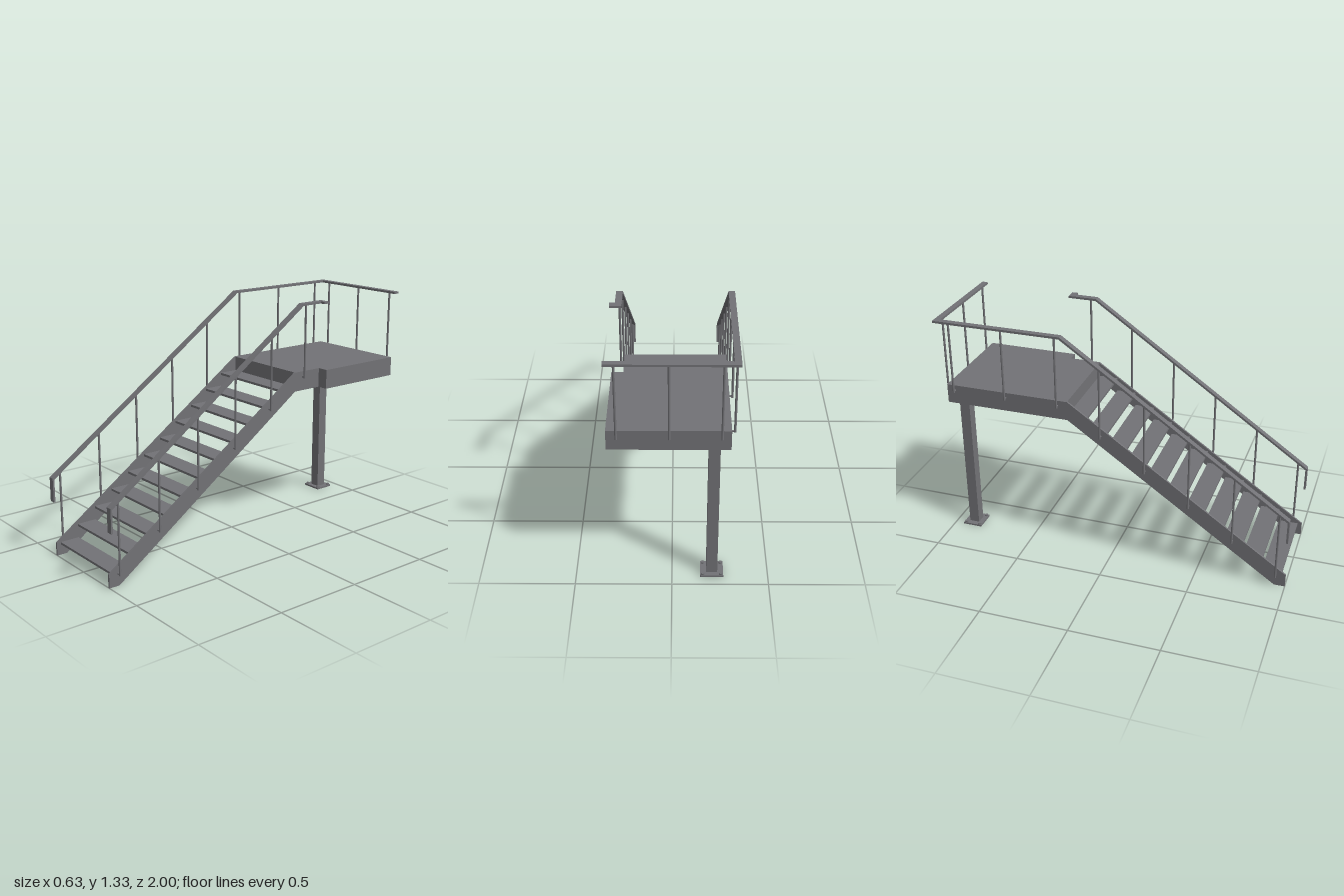
import * as THREE from 'three';

export function createModel() {
  const model = new THREE.Group();
  model.name = 'staircase';
  const steel = new THREE.MeshStandardMaterial({ color: 0x727276 });
  steel.name = 'grey steel';

  function add(name, geometry, x = 0, y = 0, z = 0) {
    const mesh = new THREE.Mesh(geometry, steel);
    mesh.name = name;
    mesh.position.set(x, y, z);
    model.add(mesh);
    return mesh;
  }
  // Box given by its limits on each axis
  function box(name, x0, x1, y0, y1, z0, z1) {
    return add(name, new THREE.BoxGeometry(x1 - x0, y1 - y0, z1 - z0),
      (x0 + x1) / 2, (y0 + y1) / 2, (z0 + z1) / 2);
  }
  // Side profile of [z, y] points, extruded from x0 to x1
  function sidePlate(name, points, x0, x1) {
    const shape = new THREE.Shape(points.map(p => new THREE.Vector2(...p)));
    const geometry = new THREE.ExtrudeGeometry(shape, { depth: x1 - x0, bevelEnabled: false });
    add(name, geometry, x1).rotation.y = -Math.PI / 2;
  }

  const DECK = 0.937, UNDER = 0.828, RAIL = 1.325, T = 0.011;
  const BACK = -0.962, NOTCH = -0.43, FRONT = -0.25;
  const L = -0.286, R = 0.254, WIDE = 0.316;

  // Stringers, continuing as the sides of the landing
  const stringer = end => [[1, 0], [1, 0.075], [FRONT, DECK], [end, DECK],
    [end, UNDER], [FRONT, UNDER], [0.94, 0]];
  sidePlate('rightStringer', stringer(BACK), L, L + T);
  sidePlate('leftStringer', stringer(NOTCH), R - T, R);

  // Treads
  for (let i = 0; i < 11; i++) {
    const y = 0.073 + i * 0.0782, z = 0.976 - i * 0.1115;
    box('tread', L + T, R - T, y - 0.013, y, z - 0.1115, z);
  }

  // Landing: thin deck with a rim hanging below it
  box('deck', L + T, R - T, DECK - 0.012, DECK, BACK + T, FRONT - T);
  box('deckExtension', R - T, WIDE - T, DECK - 0.012, DECK, BACK + T, NOTCH - T);
  box('frontRim', L + T, R - T, UNDER, DECK, FRONT - T, FRONT);
  box('backRim', L + T, WIDE, UNDER, DECK, BACK, BACK + T);
  box('sideRim', WIDE - T, WIDE, UNDER, DECK, BACK + T, NOTCH);
  box('notchRim', R - T, WIDE - T, UNDER, DECK, NOTCH - T, NOTCH);

  // Support column on a bolted foot plate
  const cx = -0.208, cz = -0.89;
  box('column', cx - 0.029, cx + 0.029, 0.01, DECK - 0.012, cz - 0.029, cz + 0.029);
  box('footPlate', cx - 0.06, cx + 0.06, 0, 0.01, cz - 0.056, cz + 0.056);
  for (const sx of [-1, 1]) for (const sz of [-1, 1]) {
    add('footBolt', new THREE.CylinderGeometry(0.01, 0.01, 0.009, 6),
      cx + sx * 0.047, 0.0135, cz + sz * 0.043);
  }

  // Handrails with a drop at the foot of the stairs
  const railProfile = end => [[1, 0.305], [1, 0.44], [-0.27, RAIL], [end, RAIL],
    [end, RAIL - 0.012], [-0.273, RAIL - 0.012], [0.99, 0.433], [0.99, 0.305]];
  sidePlate('rightHandrail', railProfile(-1), -0.319, L);
  sidePlate('leftHandrail', railProfile(-0.434), R, 0.288);
  box('backHandrail', L, WIDE, RAIL - 0.012, RAIL, -1, -0.967);
  box('leftHandrailReturn', 0.288, WIDE, RAIL - 0.012, RAIL, -0.434, -0.4);

  // Railing post with a short standoff pointing along (dx, dz) to the frame
  function post(x, z, dx, dz) {
    const slope = 0.075 + (1 - z) * 0.69;
    const bottom = Math.min(slope - 0.053, 0.9);
    const top = Math.min(0.44 + (1 - z) * 0.697, RAIL) - 0.008;
    add('railPost', new THREE.CylinderGeometry(0.006, 0.006, top - bottom, 12),
      x, (top + bottom) / 2, z);
    const standoff = add('postStandoff', new THREE.CylinderGeometry(0.005, 0.005, 0.018, 10),
      x + dx * 0.009, bottom + 0.007, z + dz * 0.009);
    if (dx) standoff.rotation.z = Math.PI / 2;
    else standoff.rotation.x = Math.PI / 2;
  }
  for (let i = 0; i < 8; i++) {
    const z = i < 5 ? 0.945 - i * 0.251 : -0.305 - (i - 5) * 0.305;
    post(-0.303, z, 1, 0);
    if (i < 6) post(0.271, z, -1, 0);
  }
  for (const x of [-0.24, 0.012, 0.265]) post(x, -0.98, 0, 1);

  return model;
}
